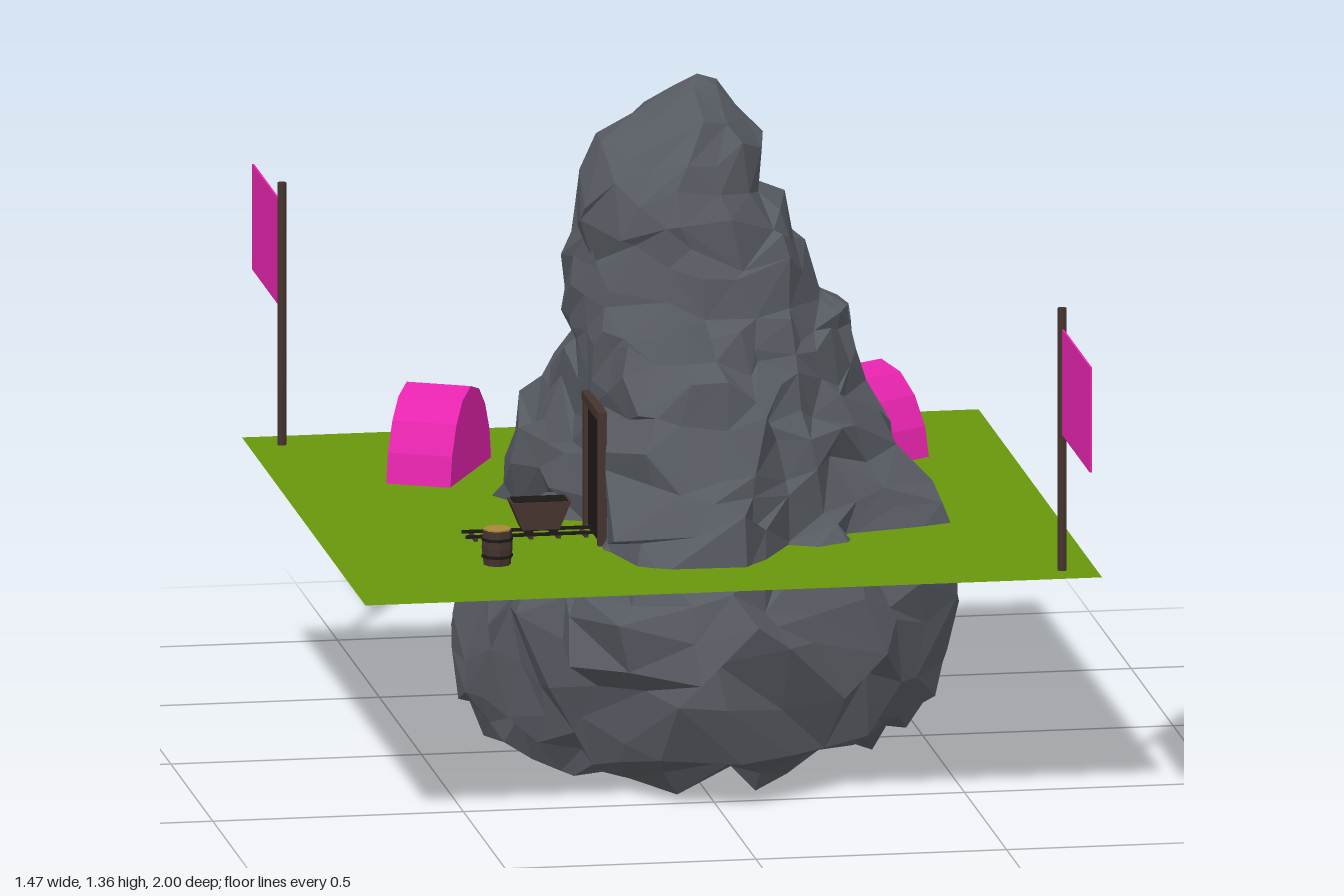
import * as THREE from 'three';

const mat = (color, side = THREE.FrontSide) =>
  new THREE.MeshStandardMaterial({ color, flatShading: true, side });
const rock = mat(0x565a61), wood = mat(0x45332d), dark = mat(0x1c1817), tan = mat(0xa8873c);
const grass = mat(0x68960c, THREE.DoubleSide), cloth = mat(0xe624ae, THREE.DoubleSide);
const GROUND = 0.48;

function add(parent, name, geometry, material, x = 0, y = 0, z = 0) {
  const mesh = new THREE.Mesh(geometry, material);
  mesh.name = name;
  mesh.position.set(x, y, z);
  parent.add(mesh);
  return mesh;
}
const box = (w, h, d) => new THREE.BoxGeometry(w, h, d);

// Repeatable noise in -1..1
function noise(a, b, c) {
  const s = Math.sin(a * 127.1 + b * 311.7 + c * 74.7) * 43758.5453;
  return 2 * (s - Math.floor(s)) - 1;
}

// Rock radii in 16 directions (from +x towards +z) at rising heights
const LOWER = [
  [.34, .37, .39, .40, .47, .42, .36, .36, .40, .38, .33, .31, .31, .30, .31, .32],
  [.48, .51, .49, .50, .58, .51, .42, .41, .45, .44, .40, .40, .46, .41, .39, .43],
  [.51, .56, .53, .53, .65, .60, .46, .42, .43, .45, .43, .47, .57, .46, .42, .46],
  [.47, .55, .46, .46, .56, .57, .39, .33, .37, .42, .40, .44, .58, .42, .39, .44],
  [.39, .52, .41, .39, .51, .53, .30, .25, .29, .38, .36, .45, .58, .39, .37, .41],
  [.37, .43, .37, .37, .45, .47, .28, .25, .28, .37, .34, .42, .55, .36, .34, .38],
  [.34, .34, .33, .34, .38, .39, .29, .24, .26, .29, .29, .29, .32, .30, .34, .36],
  [.32, .32, .29, .29, .30, .31, .27, .24, .23, .23, .24, .25, .26, .27, .30, .33],
];
const RINGS = [.03, .12, .30, .42, .50, .61, .72, .84].map((y, i) => ({ y, cx: .03, r: LOWER[i] }));
// Underside rings, then the peak
for (const s of [.68, .33])
  RINGS.unshift({ y: .05, cx: .03, r: LOWER[0].map(v => v * s) });
for (const [y, cx, r] of [[.93, .04, .25], [1.03, .03, .215], [1.14, -.01, .185], [1.21, .01, .16],
  [1.28, .035, .105], [1.335, .05, .045]])
  RINGS.push({ y, cx, r: Array(16).fill(r) });

function rockGeometry() {
  const N = 32, pos = [], index = [], rows = [];
  RINGS.forEach((a, i) => {
    rows.push(a);
    const b = RINGS[i + 1];
    if (b && b.y - a.y > 0.085) rows.push({
      y: (a.y + b.y) / 2, cx: (a.cx + b.cx) / 2, r: a.r.map((v, k) => (v + b.r[k]) / 2 + .008) });
  });
  // Narrow rings use fewer corners, so facets stay a similar size
  const steps = rows.map(({ r }) => {
    const mean = r.reduce((s, v) => s + v) / 16;
    return mean < .14 ? 4 : mean < .27 ? 2 : 1;
  });
  rows.forEach((row, i) => {
    for (let j = 0; j < N; j++) {
      const k = j >> 1;
      let r = j % 2 ? (row.r[k] + row.r[(k + 1) % 16]) / 2 : row.r[k];
      // Vertical ribs with scattered chips
      r *= 1 + .035 * noise(j, i >> 2, 1) + .045 * noise(j, i, 2);
      const t = (j + .4 * steps[i] * noise(i, j, 3)) / N * Math.PI * 2;
      let x = row.cx + r * Math.cos(t), z = r * Math.sin(t);
      const y = row.y + Math.min(.035, r * .2) * noise(i, j, 4);
      // Flat wall behind the mine entrance
      if (x < 0 && z > .08 && z < .36 && y > .44 && y < .79) x = Math.max(x, -.185);
      pos.push(x, Math.max(y, 0), z);
    }
  });
  const corner = (i, j) => i * N + (j % N) - (j % N) % steps[i];
  const face = (a, b, c) => { if (a !== b && b !== c && c !== a) index.push(a, b, c); };
  const base = pos.length / 3, top = base + 1, last = rows.length - 1;
  pos.push(.02, .05, .03, .05, 1.355, 0);
  for (let j = 0; j < N; j++) {
    for (let i = 0; i < last; i++) {
      const a = corner(i, j), b = corner(i, j + 1), c = corner(i + 1, j), d = corner(i + 1, j + 1);
      if (noise(i, j, 5) > 0) { face(a, c, b); face(b, c, d); }
      else { face(a, c, d); face(a, d, b); }
    }
    face(base, corner(0, j), corner(0, j + 1));
    face(corner(last, j), top, corner(last, j + 1));
  }
  const g = new THREE.BufferGeometry();
  g.setAttribute('position', new THREE.Float32BufferAttribute(pos, 3));
  g.setIndex(index);
  g.computeVertexNormals();
  return g;
}

// Arched tent, open on its local -z end
function tent(x, z, yaw) {
  const g = new THREE.Group();
  g.name = 'tent';
  const half = [[.137, 0], [.126, .06], [.096, .118], [.055, .158], [0, .175]];
  const arch = [...half, ...half.slice(0, 4).reverse().map(([u, v]) => [-u, v])];
  const pos = [], index = [];
  arch.forEach(([u, v]) => pos.push(u, v, .066, u, v, -.066));
  for (let i = 0; i < arch.length - 1; i++) {
    const a = i * 2;
    index.push(a, a + 1, a + 2, a + 2, a + 1, a + 3);
  }
  const shell = new THREE.BufferGeometry();
  shell.setAttribute('position', new THREE.Float32BufferAttribute(pos, 3));
  shell.setIndex(index);
  shell.computeVertexNormals();
  add(g, 'tentCanopy', shell, cloth);
  const shape = new THREE.Shape(arch.map(([u, v]) => new THREE.Vector2(u, v)));
  add(g, 'tentBackWall', new THREE.ShapeGeometry(shape), cloth, 0, 0, .065);
  add(g, 'tentFloor', box(.25, .006, .125), wood, 0, .005, 0);
  g.position.set(x, GROUND, z);
  g.rotation.y = yaw;
  return g;
}

function flag(side) {
  const g = new THREE.Group();
  g.name = 'flag';
  add(g, 'flagPole', new THREE.CylinderGeometry(.009, .009, .53, 8), wood, 0, .265, 0);
  add(g, 'flagCloth', box(.004, .213, .338), cloth, 0, .382, side * .171);
  g.position.set(side * .668, GROUND, side * .66);
  return g;
}

function mine() {
  const g = new THREE.Group();
  g.name = 'mineEntrance';
  const z = .215;
  add(g, 'doorway', box(.01, .25, .17), dark, -.186, GROUND + .125, z);
  for (const s of [-1, 1]) {
    add(g, 'doorPost', box(.016, .26, .016), wood, -.191, GROUND + .13, z + s * .086);
    add(g, 'rail', box(.26, .006, .006), dark, -.32, GROUND + .01, z - .01 + s * .023);
  }
  add(g, 'doorLintel', box(.018, .018, .2), wood, -.191, GROUND + .262, z);
  for (let i = 0; i < 5; i++)
    add(g, 'railTie', box(.008, .005, .06), wood, -.43 + i * .055, GROUND + .004, z - .01);

  // Mine cart: tapered tub on four wheels
  const tub = new THREE.Shape([[-.06, .055], [-.037, 0], [.037, 0], [.06, .055]].map(p => new THREE.Vector2(...p)));
  const side = new THREE.ExtrudeGeometry(tub, { depth: .056, bevelEnabled: false });
  add(g, 'cartTub', side, wood, -.3, GROUND + .02, z - .038);
  add(g, 'cartHollow', box(.108, .004, .046), dark, -.3, GROUND + .0755, z - .01);
  for (const sx of [-1, 1]) for (const sz of [-1, 1])
    add(g, 'cartWheel', new THREE.CylinderGeometry(.011, .011, .006, 8).rotateX(Math.PI / 2),
      dark, -.3 + sx * .025, GROUND + .02, z - .01 + sz * .023);
  return g;
}

function barrel() {
  const g = new THREE.Group();
  g.name = 'barrel';
  const profile = [[0, 0], [.027, 0], [.031, .035], [.029, .07], [.024, .07]].map(p => new THREE.Vector2(...p));
  add(g, 'barrelBody', new THREE.LatheGeometry(profile, 8), wood);
  add(g, 'barrelTop', new THREE.CylinderGeometry(.028, .028, .004, 8), tan, 0, .071, 0);
  for (const y of [.018, .052])
    add(g, 'barrelHoop', new THREE.CylinderGeometry(.0315, .0315, .006, 8), dark, 0, y, 0);
  g.position.set(-.42, GROUND, .425);
  return g;
}

export function createModel() {
  const model = new THREE.Group();
  model.name = 'mountainCamp';
  add(model, 'mountain', rockGeometry(), rock);
  add(model, 'ground', new THREE.PlaneGeometry(1.47, 1.47).rotateX(-Math.PI / 2), grass, 0, GROUND, 0);
  model.add(tent(-.4, -.39, 1.107), tent(.44, -.425, -.985));
  model.add(flag(1), flag(-1), mine(), barrel());
  return model;
}
